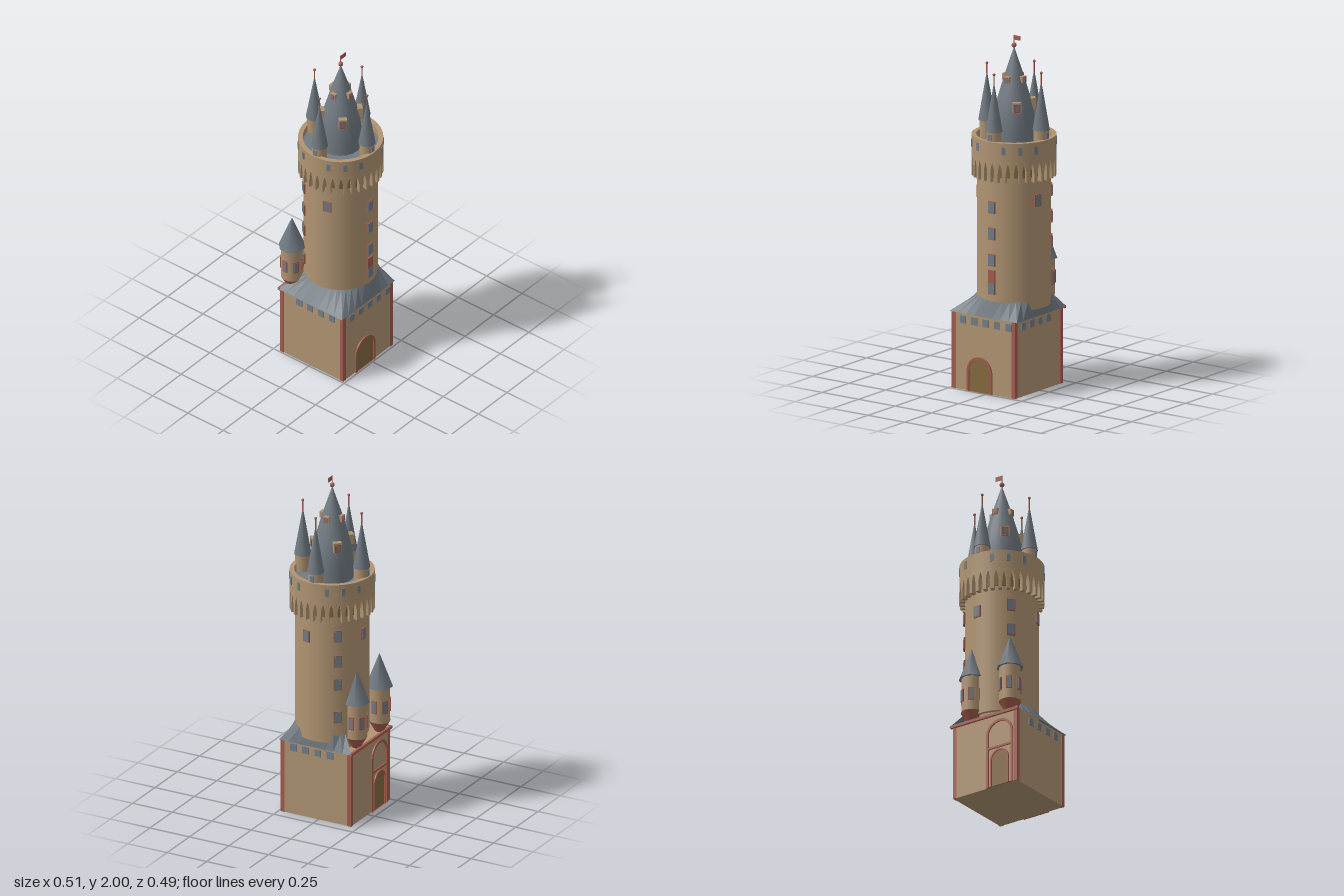
import * as THREE from 'three';

const mat = (name, color, side = THREE.FrontSide) => {
  const m = new THREE.MeshStandardMaterial({ color, side });
  m.name = name;
  return m;
};

export function createModel() {
  const stone = mat('sandstone', 0xb09472);
  const slate = mat('slate', 0x717a82, THREE.DoubleSide);
  const red = mat('red stone', 0xa35c4d);
  const glass = mat('window blue', 0x717d8a);
  const wood = mat('dark wood', 0x84693f);

  const model = new THREE.Group();
  model.name = 'castleTower';
  const CX = 0.0175, CZ = 0.01, R = 0.204;
  const rad = THREE.MathUtils.degToRad;

  const add = (name, geo, material, x = 0, y = 0, z = 0, parent = model) => {
    const mesh = new THREE.Mesh(geo, material);
    mesh.name = name;
    mesh.position.set(x, y, z);
    parent.add(mesh);
    return mesh;
  };
  const box = (name, w, h, d, material, x, y, z, parent) =>
    add(name, new THREE.BoxGeometry(w, h, d), material, x, y, z, parent);
  const cyl = (name, rt, rb, y0, y1, seg, material, x, z, parent) =>
    add(name, new THREE.CylinderGeometry(rt, rb, y1 - y0, seg), material, x, (y0 + y1) / 2, z, parent);
  const lathe = (name, pts, seg, material, x, z) =>
    add(name, new THREE.LatheGeometry(pts.map(p => new THREE.Vector2(...p)), seg), material, x, 0, z);
  // group whose +z points outward at an angle (0 = front, 90 = +x)
  const facing = (name, deg, x = CX, z = CZ) => {
    const g = new THREE.Group();
    g.name = name;
    g.position.set(x, 0, z);
    g.rotation.y = rad(deg);
    model.add(g);
    return g;
  };

  // ---- square base
  const X0 = -0.24, X1 = 0.19, Z0 = -0.205, Z1 = 0.235, H = 0.435;
  box('baseWalls', X1 - X0, H, Z1 - Z0, stone, (X0 + X1) / 2, H / 2, (Z0 + Z1) / 2);
  for (const x of [X0 + 0.009, X1 - 0.009])
    for (const z of [Z0 + 0.009, Z1 - 0.009]) box('cornerStones', 0.024, H, 0.024, red, x, H / 2, z);
  box('backCornice', 0.458, 0.016, 0.014, red, -0.024, H, -0.211);

  // small windows below the eaves
  for (let i = 0; i < 5; i++) box('eaveWindow', 0.04, 0.042, 0.008, glass, -0.165 + i * 0.078, 0.399, Z1);
  for (let i = 0; i < 4; i++)
    for (const x of [X0, X1]) box('eaveWindow', 0.008, 0.042, 0.04, glass, x, 0.399, 0.157 - i * 0.077);

  // ---- arched doors
  const arch = (w, h) => {
    const s = new THREE.Shape();
    s.moveTo(-w, 0);
    s.lineTo(w, 0);
    s.lineTo(w, h - w);
    s.absarc(0, h - w, w, 0, Math.PI, false);
    return s;
  };
  const door = (name, w, h, t, x, z, turn, filling) => {
    const g = new THREE.Group();
    g.name = name;
    g.position.set(x, 0, z);
    g.rotation.y = turn;
    model.add(g);
    const frame = arch(w, h);
    frame.holes.push(arch(w - t, h - t));
    add('archFrame', new THREE.ExtrudeGeometry(frame, { depth: 0.008, bevelEnabled: false, curveSegments: 14 }), red, 0, 0, 0, g);
    if (filling) add('doorLeaf', new THREE.ShapeGeometry(arch(w - t, h - t), 14), filling, 0, 0, 0.002, g);
    return g;
  };
  door('frontDoor', 0.085, 0.2, 0.014, -0.05, Z1, 0, wood);
  const portal = door('backPortal', 0.09, 0.4, 0.014, -0.125, Z0, Math.PI);
  box('portalBar', 0.17, 0.012, 0.008, red, 0, 0.235, 0.004, portal);
  door('backDoor', 0.062, 0.22, 0.008, -0.125, Z0, Math.PI, wood);

  // ---- hipped skirt roof, square eaves rising to the round tower, open at the back
  const corners = [[0.207, -0.22], [0.207, 0.24], [-0.255, 0.24], [-0.255, -0.22]];
  const rim = [];
  for (let s = 0; s < 3; s++)
    for (let i = s ? 1 : 0; i <= 8; i++) {
      const t = i / 8, a = corners[s], b = corners[s + 1];
      rim.push([a[0] + (b[0] - a[0]) * t, a[1] + (b[1] - a[1]) * t]);
    }
  const strip = rim.map(([x, z]) => {
    const d = Math.hypot(x - CX, z - CZ), r = Math.min(0.203, d - 0.004), k = r / d;
    return [[x, H, z], [CX + (x - CX) * k, r < 0.203 ? 0.49 : 0.53, CZ + (z - CZ) * k]];
  });
  const tri = [];
  for (let i = 0; i < strip.length - 1; i++) {
    const [a, b] = strip[i], [c, d] = strip[i + 1];
    tri.push(...a, ...b, ...c, ...c, ...b, ...d);
  }
  const roofGeo = new THREE.BufferGeometry();
  roofGeo.setAttribute('position', new THREE.Float32BufferAttribute(tri, 3));
  roofGeo.computeVertexNormals();
  add('skirtRoof', roofGeo, slate);

  // ---- round shaft
  cyl('shaftFoot', 0.185, 0.185, 0.42, 0.5, 40, stone, CX, CZ);
  cyl('shaft', R, R, 0.48, 1.34, 48, stone, CX, CZ);
  const shaftWindow = (deg, y, w = 0.036) => {
    const g = facing('shaftWindow', deg);
    box('windowFrame', 0.046, 0.068, 0.02, red, 0, y, R - 0.003, g);
    box('windowPane', w, 0.058, 0.02, glass, 0, y, R - 0.001, g);
  };
  [1.06, 0.91, 0.76, 0.6].forEach(y => shaftWindow(0, y, 0.042));
  box('redPanel', 0.044, 0.07, 0.02, red, 0, 0.668, R - 0.002, facing('windowPanel', 0));
  for (const deg of [128, 230]) [1.12, 0.97, 0.83, 0.635].forEach(y => shaftWindow(deg, y));
  for (const deg of [76, 175, 288]) shaftWindow(deg, 1.1);

  // ---- battlement gallery: pointed corbel arches bent around the shaft
  const N = 32, w = Math.PI * 2 * 0.235 / N;
  const panel = new THREE.Shape();
  panel.moveTo(-w / 2, 1.21);
  panel.lineTo(-w * 0.27, 1.21);
  panel.lineTo(-w * 0.27, 1.255);
  panel.quadraticCurveTo(-w * 0.25, 1.295, 0, 1.32);
  panel.quadraticCurveTo(w * 0.25, 1.295, w * 0.27, 1.255);
  panel.lineTo(w * 0.27, 1.21);
  panel.lineTo(w / 2, 1.21);
  panel.lineTo(w / 2, 1.335);
  panel.lineTo(-w / 2, 1.335);
  const bent = new THREE.ExtrudeGeometry(panel, { depth: 0.033, bevelEnabled: false, curveSegments: 4 });
  const p = bent.attributes.position;
  for (let i = 0; i < p.count; i++) {
    const a = p.getX(i) / 0.235, r = 0.202 + p.getZ(i);
    p.setXYZ(i, Math.sin(a) * r, p.getY(i), Math.cos(a) * r);
  }
  bent.computeVertexNormals();
  for (let i = 0; i < N; i++) add('corbelArch', bent, stone, 0, 0, 0, facing('corbel', (i + 0.5) * 360 / N));
  cyl('archRecess', 0.208, 0.208, 1.235, 1.33, 48, wood, CX, CZ);
  for (const [name, r0, r1, y0, y1] of [['parapetOuter', 0.235, 0.235, 1.33, 1.44],
    ['parapetTop', 0.235, 0.209, 1.44, 1.44], ['parapetInner', 0.209, 0.209, 1.44, 1.38]])
    lathe(name, [[r0, y0], [r1, y1]], 48, stone, CX, CZ);
  cyl('galleryFloor', 0.21, 0.21, 1.34, 1.395, 48, slate, CX, CZ);
  for (let i = 0; i < 16; i++)
    if (i % 4) box('parapetWindow', 0.022, 0.045, 0.008, glass, 0, 1.395, 0.234, facing('parapetOpening', i * 22.5));

  // ---- four gallery turrets
  for (let i = 0; i < 4; i++) {
    const a = i * Math.PI / 2, x = CX + Math.sin(a) * 0.186, z = CZ + Math.cos(a) * 0.186;
    cyl('turretBody', 0.042, 0.042, 1.39, 1.495, 12, stone, x, z);
    cyl('turretRoof', 0, 0.048, 1.49, 1.77, 12, slate, x, z);
    cyl('turretSpire', 0.004, 0.004, 1.75, 1.81, 6, red, x, z);
    add('turretBall', new THREE.SphereGeometry(0.008, 8, 6), red, x, 1.812, z);
    box('turretWindow', 0.022, 0.035, 0.008, glass, 0, 1.462, 0.04, facing('turretOpening', i * 90, x, z));
  }

  // ---- main spire with dormers and flag
  lathe('mainSpire', [[0.118, 1.39], [0.117, 1.49], [0.107, 1.58], [0.09, 1.65], [0.055, 1.77], [0.002, 1.93]], 20, slate, CX, CZ);
  const dormer = (deg, y, r, wd, h, d) => {
    const g = facing('dormer', deg);
    box('dormerBody', wd, h, d, stone, 0, y, r, g);
    box('dormerFrame', wd * 0.8, h * 0.8, 0.005, red, 0, y - h * 0.06, r + d / 2, g);
    box('dormerPane', wd * 0.4, h * 0.5, 0.008, glass, 0, y - h * 0.06, r + d / 2, g);
  };
  for (let i = 0; i < 4; i++) {
    dormer(45 + i * 90, 1.612, 0.103, 0.046, 0.058, 0.034);
    dormer(i * 90, 1.757, 0.059, 0.034, 0.036, 0.024);
  }
  cyl('flagPole', 0.003, 0.003, 1.91, 2, 6, red, CX, CZ);
  add('spireBall', new THREE.SphereGeometry(0.014, 10, 8), red, CX, 1.943, CZ);
  box('flag', 0.042, 0.025, 0.004, red, CX + 0.022, 1.986, CZ);

  // ---- two corner turrets hanging over the back wall
  for (const x of [-0.175, 0.083]) {
    const z = -0.18;
    cyl('bartizanFoot', 0.062, 0.015, 0.42, 0.5, 16, red, x, z);
    cyl('bartizanBody', 0.06, 0.06, 0.5, 0.72, 16, stone, x, z);
    const cap = cyl('bartizanRoof', 0, 0.0755, 0.705, 0.9, 8, slate, x, z);
    cap.rotation.y = Math.PI / 8;
    for (let i = 0; i < 6; i++) {
      const g = facing('bartizanWindow', 30 + i * 60, x, z);
      box('windowFrame', 0.032, 0.075, 0.008, red, 0, 0.595, 0.059, g);
      box('windowPane', 0.022, 0.062, 0.009, glass, 0, 0.595, 0.06, g);
    }
  }
  return model;
}
